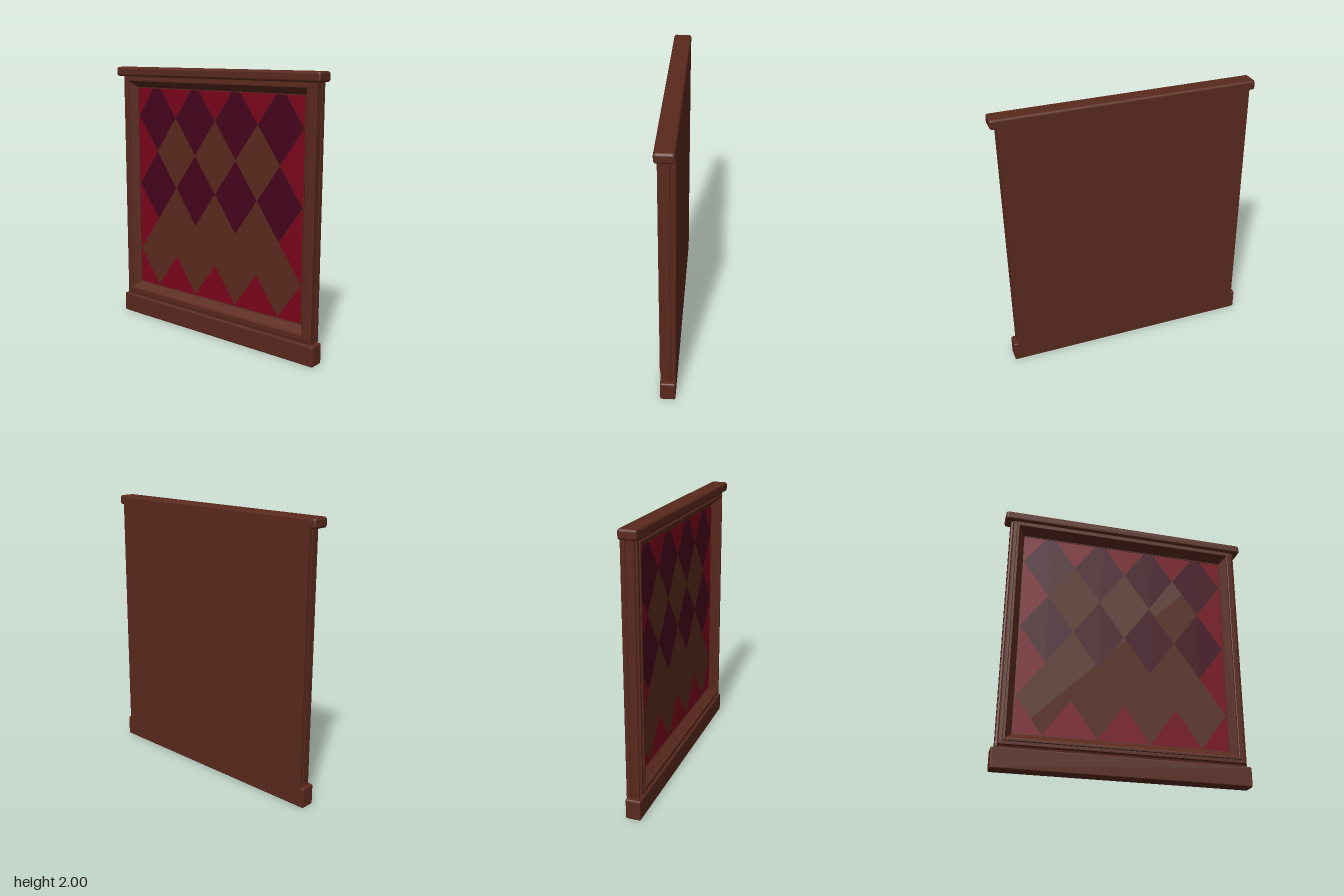
import * as THREE from 'three';
import { RoundedBoxGeometry } from 'three/addons/geometries/RoundedBoxGeometry.js';

const flat = (name, color) => {
  const m = new THREE.MeshStandardMaterial({ color });
  m.name = name;
  return m;
};

// Opening inside the frame
const OPEN = { x: 0.785, y0: 0.268, y1: 1.84 };

// Sweep a (distance from opening, z) profile around the opening with mitred corners
function mitredFrame(profile) {
  const corner = (i, [d, z]) => [
    (i === 0 || i === 3 ? -1 : 1) * (OPEN.x + d),
    i < 2 ? OPEN.y0 - d : OPEN.y1 + d,
    z,
  ];
  const pos = [];
  for (let p = 0; p < profile.length - 1; p++) {
    for (let i = 0; i < 4; i++) {
      const j = (i + 1) % 4;
      const a = corner(i, profile[p]), b = corner(j, profile[p]);
      const c = corner(j, profile[p + 1]), e = corner(i, profile[p + 1]);
      pos.push(...e, ...c, ...b, ...e, ...b, ...a);
    }
  }
  const g = new THREE.BufferGeometry();
  g.setAttribute('position', new THREE.Float32BufferAttribute(pos, 3));
  g.computeVertexNormals();
  return g;
}

// Keep the part of a polygon where sign * coordinate <= sign * limit
function clip(points, axis, limit, sign) {
  const out = [];
  points.forEach((a, i) => {
    const b = points[(i + 1) % points.length];
    const da = sign * (limit - a[axis]), db = sign * (limit - b[axis]);
    if (da >= 0) out.push(a);
    if (da * db < 0) out.push(a.clone().lerp(b, da / (da - db)));
  });
  return out;
}

// One lozenge, trimmed to the opening
function lozenge(cx, cy) {
  const w = 0.1935, h = 0.268;
  let pts = [[0, -h], [w, 0], [0, h], [-w, 0]].map(([x, y]) => new THREE.Vector2(cx + x, cy + y));
  pts = clip(pts, 'x', OPEN.x, 1);
  pts = clip(pts, 'x', -OPEN.x, -1);
  pts = clip(pts, 'y', OPEN.y1, 1);
  pts = clip(pts, 'y', OPEN.y0, -1);
  return new THREE.ShapeGeometry(new THREE.Shape(pts));
}

export function createModel() {
  const wood = flat('dark wood', 0x5a291d);
  const field = flat('brown panel', 0x5a2a1c);
  const red = flat('crimson', 0x7b041b);
  const purple = flat('plum', 0x46031c);

  const group = new THREE.Group();
  group.name = 'framedPanel';
  const add = (name, geometry, material, x, y, z) => {
    const m = new THREE.Mesh(geometry, material);
    m.name = name;
    m.position.set(x, y, z);
    group.add(m);
  };

  // Top rail and skirting with softened edges
  add('topRail', new RoundedBoxGeometry(1.89, 0.07, 0.13, 2, 0.018), wood, 0, 1.965, 0);
  add('baseBoard', new RoundedBoxGeometry(1.86, 0.15, 0.11, 2, 0.012), wood, 0, 0.075, -0.01);

  // Back board and deeply recessed field
  add('backBoard', new THREE.BoxGeometry(1.79, 1.8, 0.03), wood, 0, 1.04, -0.05);
  add('panelField', new THREE.BoxGeometry(1.58, 1.58, 0.03), field, 0, 1.055, -0.037);

  // Moulding: wide inner bevel, raised bead, outer step, grooved post sides
  const moulding = mitredFrame([
    [0, -0.03], [0, -0.014], [0.006, -0.014], [0.048, 0.038], [0.052, 0.048],
    [0.056, 0.05], [0.07, 0.05], [0.073, 0.042], [0.095, 0.042], [0.104, 0.028],
    [0.115, 0.026], [0.115, -0.026], [0.108, -0.028], [0.108, -0.034],
    [0.115, -0.036], [0.115, -0.065], [0.1, -0.065],
  ]);
  add('frameMoulding', moulding, wood, 0, 0, 0);

  // Lozenge pattern: two plum rows, with crimson cut pieces around the rim
  const px = 0.195, py = 0.27, row = 0.545, inlayZ = -0.019;
  for (let i = 0; i < 4; i++) {
    for (const r of [2, 4]) {
      add('plumLozenge', lozenge((2 * i - 3) * px, row + r * py), purple, 0, 0, inlayZ);
    }
  }
  for (let i = -2; i <= 2; i++) {
    const rows = Math.abs(i) === 2 ? [-1, 1, 3, 5] : [-1, 5];
    for (const r of rows) {
      add('crimsonPiece', lozenge(i * 2 * px, row + r * py), red, 0, 0, inlayZ);
    }
  }

  return group;
}
